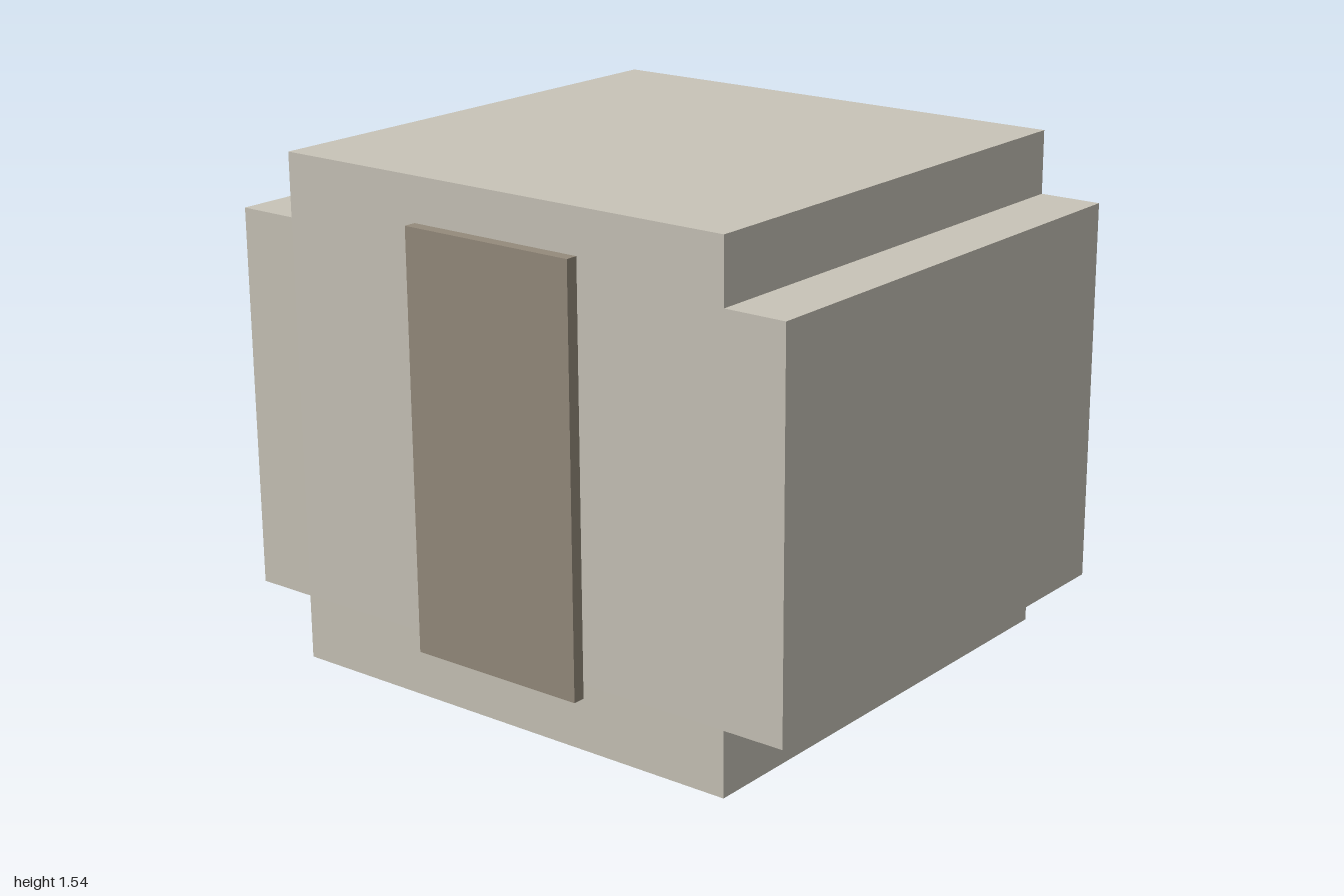
import * as THREE from 'three';

export function createModel() {
  const model = new THREE.Group();
  const stone = new THREE.MeshStandardMaterial({ name: 'pale stone', color: 0xc8c4b8 });
  const wood = new THREE.MeshStandardMaterial({ name: 'brown door', color: 0x958b7c });

  const back = -0.577, front = 0.962;

  // Box given by its extents on each axis
  function addBox(name, material, [x0, x1], [y0, y1], [z0, z1]) {
    const mesh = new THREE.Mesh(new THREE.BoxGeometry(x1 - x0, y1 - y0, z1 - z0), material);
    mesh.position.set((x0 + x1) / 2, (y0 + y1) / 2, (z0 + z1) / 2);
    mesh.name = name;
    model.add(mesh);
  }

  // Main block: notched cross-section extruded from back to front
  const half = [[0.769, 0], [0.769, 0.196], [0.96, 0.196], [0.96, 1.348], [0.769, 1.348], [0.769, 1.538]];
  const outline = [...half, ...half.map(([x, y]) => [-x, y]).reverse()];
  const shape = new THREE.Shape(outline.map(([x, y]) => new THREE.Vector2(x, y)));
  const body = new THREE.Mesh(
    new THREE.ExtrudeGeometry(shape, { depth: front - back, bevelEnabled: false }), stone);
  body.position.z = back;
  body.name = 'body';
  model.add(body);

  // Doors at both ends
  const doorX = [-0.288, 0.288], doorY = [0.155, 1.405];
  addBox('frontDoor', wood, doorX, doorY, [front, 1]);
  addBox('backDoor', wood, doorX, doorY, [back - 0.038, back]);

  // Low step behind the right half
  addBox('backStep', stone, [-0.769, 0], [0, 0.154], [-1, back]);

  return model;
}
